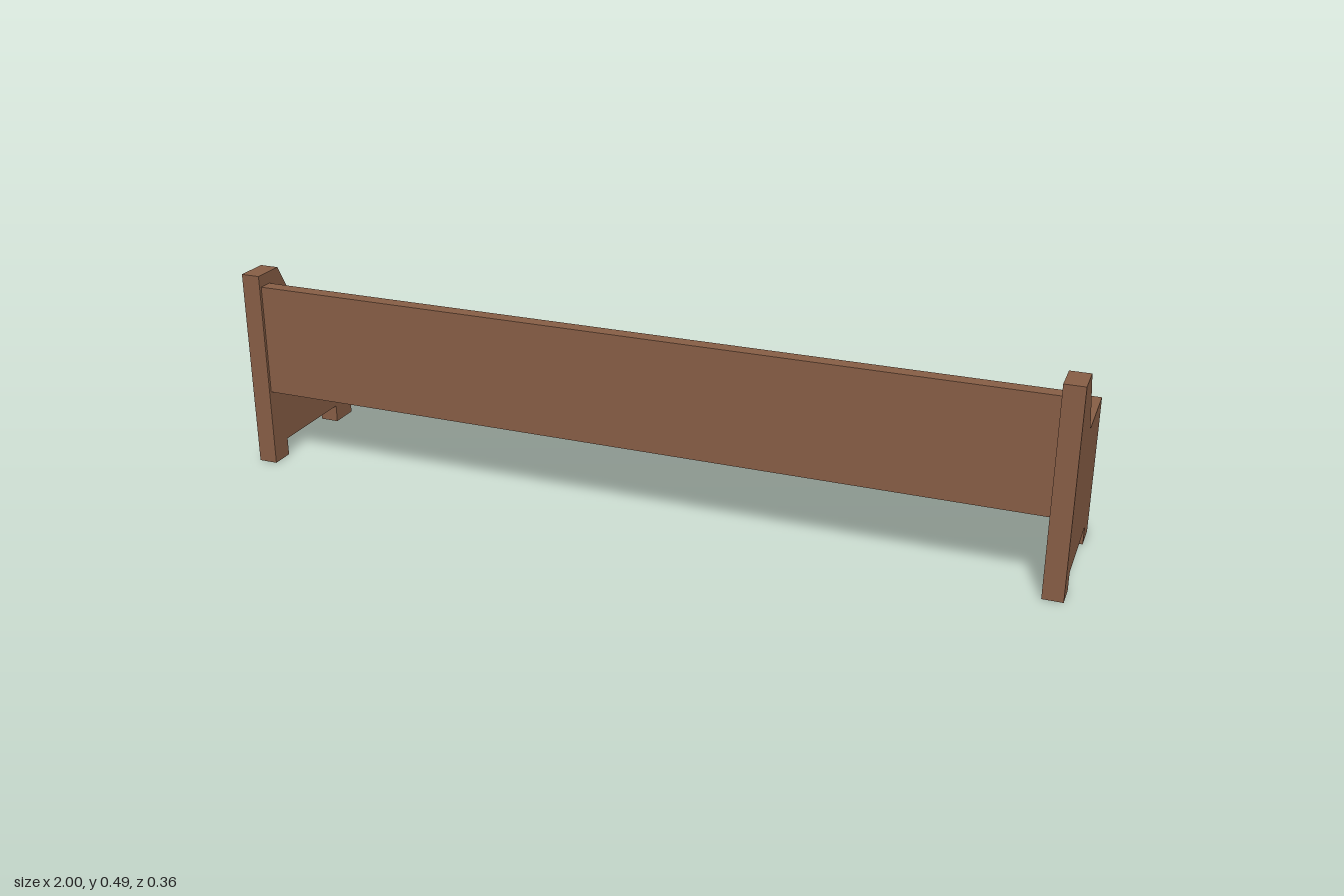
import * as THREE from 'three';

const END = 0.047; // thickness of each end panel

// Extrudes a [z, y] profile along x, from x0 to x0 + length
function extrudeAlongX(profile, x0, length, material, name) {
  const shape = new THREE.Shape(profile.map(([z, y]) => new THREE.Vector2(-z, y)));
  const geometry = new THREE.ExtrudeGeometry(shape, { depth: length, bevelEnabled: false });
  geometry.rotateY(Math.PI / 2); // shape x -> -z, depth -> +x
  geometry.translate(x0, 0, 0);
  const mesh = new THREE.Mesh(geometry, material);
  mesh.name = name;
  return mesh;
}

export function createModel() {
  const group = new THREE.Group();
  group.name = 'pew';
  const wood = new THREE.MeshStandardMaterial({ color: 0x875e46 });
  wood.name = 'brown wood';

  // End panels: high backrest side, sloped step down to the arm, notch between the feet
  const endProfile = [
    [0.18, 0], [0.18, 0.492], [0.1, 0.492], [0.011, 0.333], [-0.18, 0.333],
    [-0.18, 0], [-0.108, 0], [-0.108, 0.044], [0.123, 0.044], [0.123, 0],
  ];
  group.add(extrudeAlongX(endProfile, 1 - END, END, wood, 'leftEndPanel'));
  group.add(extrudeAlongX(endProfile, -1, END, wood, 'rightEndPanel'));

  // Seat dips slightly towards the leaning backrest
  const length = 2 - 2 * END;
  const seatProfile = [[-0.165, 0.19], [-0.165, 0.222], [0.058, 0.205], [0.065, 0.19]];
  const backProfile = [[0.065, 0.19], [0.058, 0.205], [0.139, 0.463], [0.173, 0.463], [0.173, 0.19]];
  group.add(extrudeAlongX(seatProfile, -length / 2, length, wood, 'seat'));
  group.add(extrudeAlongX(backProfile, -length / 2, length, wood, 'backrest'));

  return group;
}
